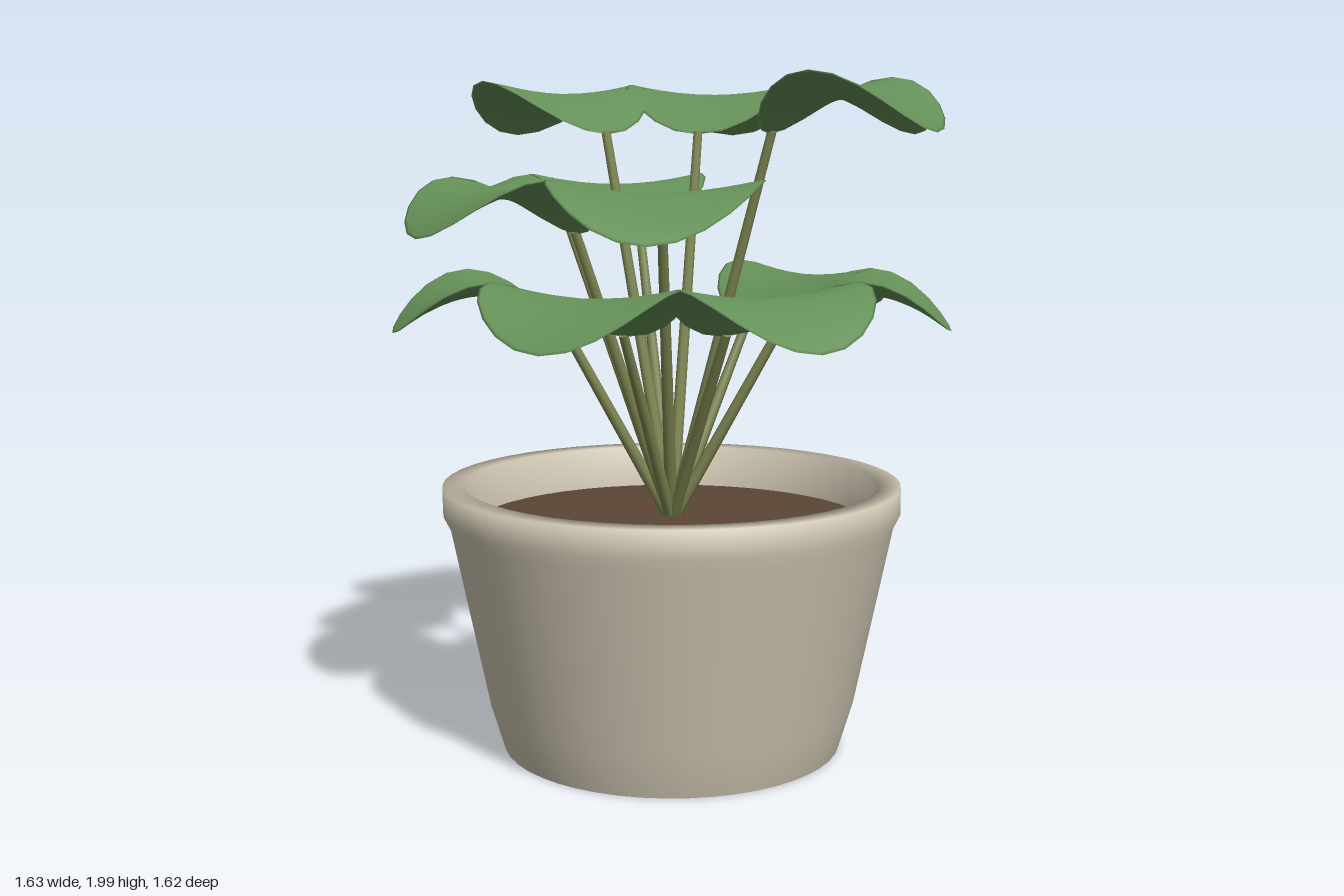
import * as THREE from 'three';

const mat = (name, color) => {
  const m = new THREE.MeshStandardMaterial({ color });
  m.name = name;
  return m;
};

function mesh(name, geometry, material) {
  const m = new THREE.Mesh(geometry, material);
  m.name = name;
  return m;
}

const lathe = (pts, segments = 48) =>
  new THREE.LatheGeometry(pts.map(([x, y]) => new THREE.Vector2(x, y)), segments);

// Thin round leaf, bent into a saddle: sides lifted, inner and outer ends drooping
function leafGeometry() {
  const halfLength = 0.25, halfWidth = 0.29, halfThickness = 0.012;
  const g = new THREE.SphereGeometry(1, 24, 14);
  const p = g.attributes.position;
  for (let i = 0; i < p.count; i++) {
    const d = p.getX(i), w = p.getZ(i);
    const bend = 0.045 * w * w - 0.115 * d * d;
    p.setXYZ(i, d * halfLength, p.getY(i) * halfThickness + bend, w * halfWidth);
  }
  g.computeVertexNormals();
  return g;
}

// Straight tapered stem from the soil to the inner end of a leaf
function stemGeometry(reach, bottom, top) {
  const a = new THREE.Vector3(0, bottom, 0);
  const b = new THREE.Vector3(reach, top, 0);
  const dir = b.clone().sub(a);
  const g = new THREE.CylinderGeometry(0.014, 0.019, dir.length(), 8);
  g.applyQuaternion(new THREE.Quaternion().setFromUnitVectors(
    new THREE.Vector3(0, 1, 0), dir.clone().normalize()));
  const mid = a.add(b).multiplyScalar(0.5);
  g.translate(mid.x, mid.y, mid.z);
  return g;
}

export function createModel() {
  const clay = mat('clay', 0xcfc6b2);
  const earth = mat('earth', 0x5c4635);
  const leafGreen = mat('leaf green', 0x659058);
  const stemGreen = mat('stem green', 0x7d8551);

  const model = new THREE.Group();
  model.name = 'pottedPlant';

  // Pot with a thick rim, and the soil inside it
  model.add(mesh('pot', lathe([
    [0.51, 0], [0.552, 0.14], [0.662, 0.68], [0.682, 0.72],
    [0.682, 0.8], [0.615, 0.8], [0.6, 0.64],
  ]), clay));
  model.add(mesh('potBase', lathe([[0, 0], [0.51, 0]]), clay));
  model.add(mesh('soil', lathe([[0.61, 0.67], [0.5, 0.683], [0.25, 0.693], [0, 0.697]]), earth));

  // Leaves in three tiers, each turned by the golden angle from the last
  const leafShape = leafGeometry();
  const tiers = [1.38, 1.66, 1.943];
  for (let i = 0; i < 13; i++) {
    const height = tiers[i % 3];
    const frond = new THREE.Group();
    frond.name = `frond${i + 1}`;
    const leaf = mesh('leaf', leafShape, leafGreen);
    leaf.position.set(0.568, height, 0);
    frond.add(leaf, mesh('stem', stemGeometry(0.325, 0.68, height - 0.108), stemGreen));
    frond.rotation.y = -THREE.MathUtils.degToRad(i * 137.5);
    model.add(frond);
  }

  model.children.forEach((c) => c.position.set(-0.008, 0, 0.012));
  return model;
}
